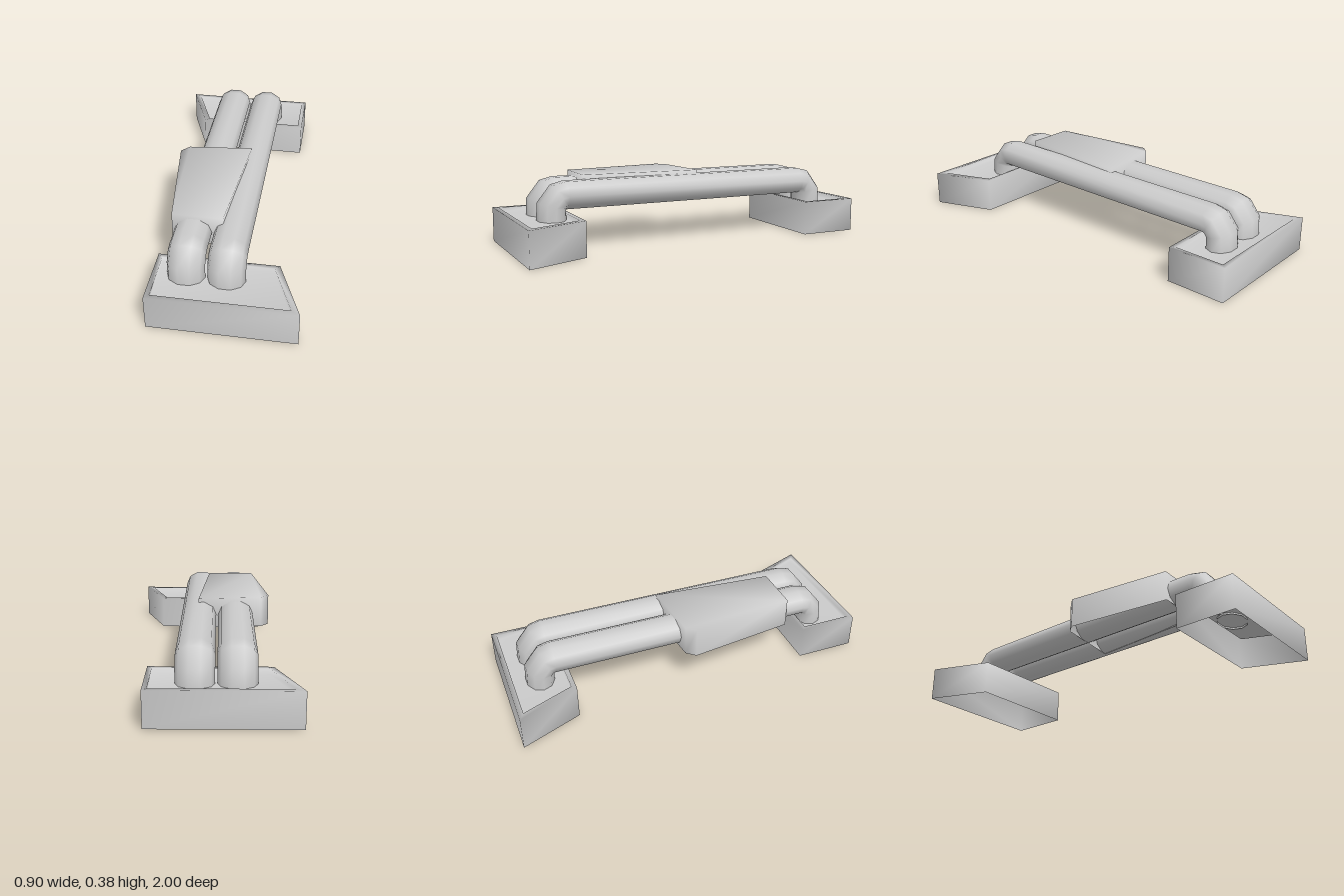
import * as THREE from 'three';

const grey = new THREE.MeshStandardMaterial({ color: 0xcccccc, side: THREE.DoubleSide });

// Skins a list of equal-length point loops; optionally fans a cap over the last loop.
function loft(loops, cap = false) {
  const n = loops[0].length, rows = loops.length, index = [];
  for (let r = 0; r < rows - 1; r++) {
    for (let i = 0; i < n; i++) {
      const j = (i + 1) % n;
      const a = r * n + i, b = r * n + j, c = b + n, d = a + n;
      index.push(a, b, c, a, c, d);
    }
  }
  if (cap) {
    const s = (rows - 1) * n;
    for (let i = 1; i < n - 1; i++) index.push(s, s + i, s + i + 1);
  }
  const geometry = new THREE.BufferGeometry();
  geometry.setAttribute('position', new THREE.Float32BufferAttribute(loops.flat(2), 3));
  geometry.setIndex(index);
  geometry.computeVertexNormals();
  return geometry;
}

const atHeight = (outline, y) => outline.map(([x, z]) => [x, y, z]);

function addMesh(parent, name, geometry) {
  const mesh = new THREE.Mesh(geometry, grey);
  mesh.name = name;
  parent.add(mesh);
  return mesh;
}

// Trapezoid tray, open underneath, with a thin rim around a shallow recessed floor
function makeTray() {
  const outer = [[-0.305, 1], [0.45, 1], [0.32, 0.67], [-0.305, 0.67]];
  const inner = [[-0.28, 0.972], [0.405, 0.972], [0.295, 0.695], [-0.28, 0.695]];
  return loft([
    atHeight(outer, 0), atHeight(outer, 0.19), atHeight(inner, 0.19), atHeight(inner, 0.16),
  ], true);
}

// Ten-sided pipe: up from the front tray, along the length, down into the back tray
function makePipe(x) {
  const sides = 10, halfWidth = 0.097, halfDepth = 0.077, bend = 0.076;
  const loops = [];
  const addLoop = (y, z, angle) => {
    const loop = [];
    for (let i = 0; i < sides; i++) {
      const t = (i / sides) * Math.PI * 2;
      const across = halfDepth * Math.sin(t);
      loop.push([
        x + halfWidth * Math.cos(t),
        y - across * Math.sin(angle),
        z - across * Math.cos(angle),
      ]);
    }
    loops.push(loop);
  };
  addLoop(0.15, 0.70 + bend, 0);
  // Bend angles in degrees at each end
  for (const [angles, z] of [[[15, 62, 90], 0.70], [[90, 118, 165], -0.75]]) {
    for (const degrees of angles) {
      const angle = THREE.MathUtils.degToRad(degrees);
      addLoop(0.214 + bend * Math.sin(angle), z + bend * Math.cos(angle), angle);
    }
  }
  addLoop(0.15, -0.75 - bend, Math.PI);
  return loft(loops);
}

export function createModel() {
  const model = new THREE.Group();
  model.name = 'pipeAssembly';

  // End trays, the back one turned half round
  addMesh(model, 'frontTray', makeTray());
  addMesh(model, 'backTray', makeTray()).rotation.y = Math.PI;

  // Pair of pipes
  addMesh(model, 'rightPipe', makePipe(-0.14));
  addMesh(model, 'leftPipe', makePipe(0.065));

  // Tapered cover over the pipes, open underneath
  const cover = [[-0.25, 0.58], [0.015, 0.58], [0.067, 0.085 * -1], [-0.285, -0.048], [-0.327, 0]];
  addMesh(model, 'cover', loft([atHeight(cover, 0.215), atHeight(cover, 0.384)], true));

  return model;
}
